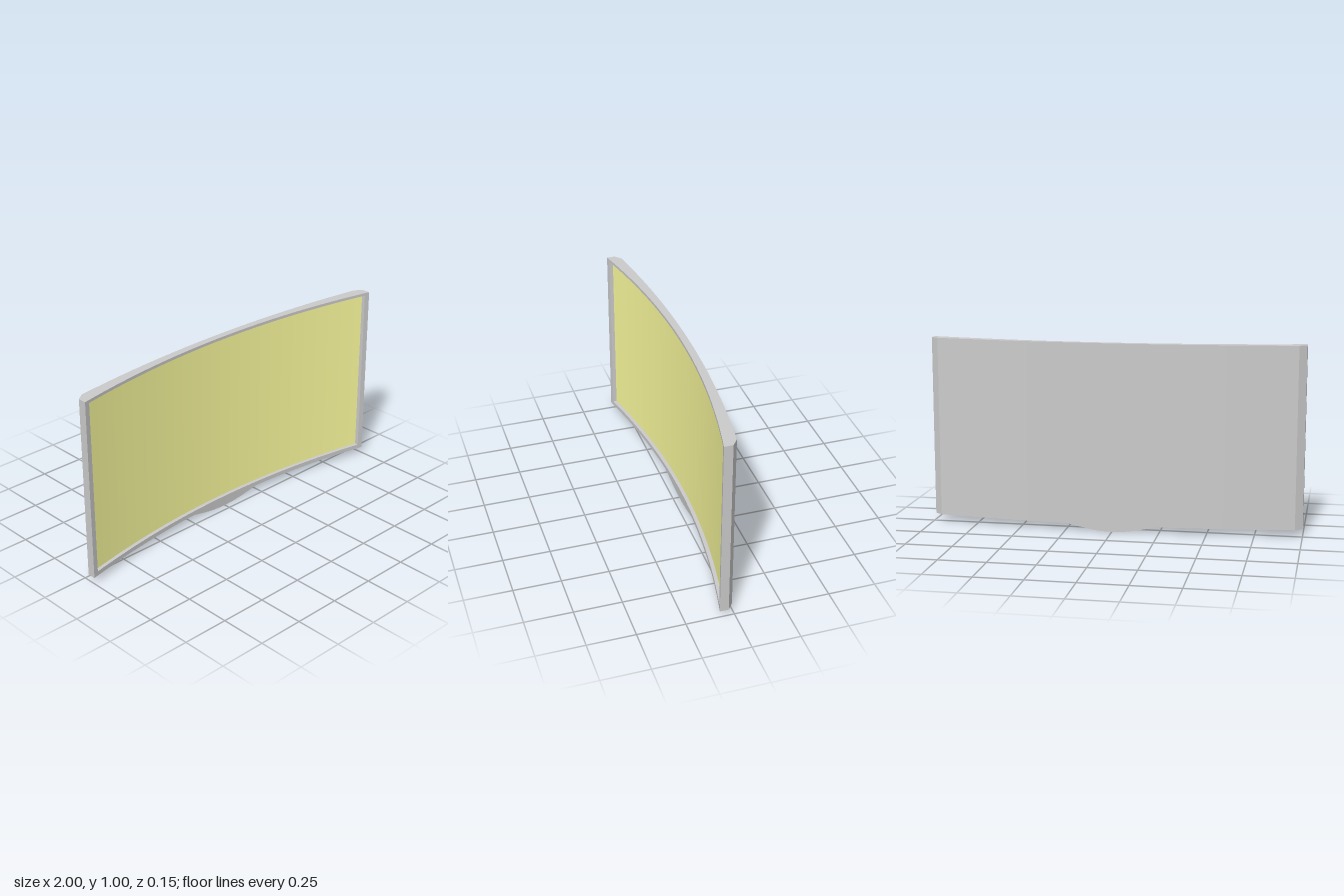
import * as THREE from 'three';

const TOP = 1.005, BASE = 0.035, RECESS = 0.02;
const IN_X = 0.972, IN_LOW = 0.058, IN_HIGH = 0.99, BEVEL_X = 0.96;

// Curved depth of the front and back faces, with bevelled back corners
const front = x => -0.036 + 0.112 * x * x;
const screenZ = x => front(x) - RECESS;
const curve = x => -0.074 + 0.08 * x * x;
const back = x => Math.abs(x) <= BEVEL_X ? curve(x)
  : THREE.MathUtils.mapLinear(Math.abs(x), BEVEL_X, 1, curve(BEVEL_X), 0.03);

// Lower edge, with a rounded bulge in the middle
const bottom = x => {
  const t = Math.min(Math.abs(x) / 0.24, 1);
  return BASE * (1 - Math.pow(1 - t * t, 1.25));
};

const range = (lo, hi, n) => Array.from({ length: n + 1 }, (_, i) => lo + (hi - lo) * i / n);

// Ribbon between two edges; it faces (direction of travel) x (a to b)
function ribbon(name, steps, a, b, material) {
  const pos = [], index = [];
  steps.forEach((t, i) => {
    pos.push(...a(t), ...b(t));
    if (i) {
      const k = 2 * i;
      index.push(k - 2, k, k + 1, k - 2, k + 1, k - 1);
    }
  });
  const g = new THREE.BufferGeometry();
  g.setAttribute('position', new THREE.Float32BufferAttribute(pos, 3));
  g.setIndex(index);
  g.computeVertexNormals();
  const mesh = new THREE.Mesh(g, material);
  mesh.name = name;
  return mesh;
}

export function createModel() {
  const grey = new THREE.MeshStandardMaterial({ color: 0xcccccc });
  const yellow = new THREE.MeshStandardMaterial({ color: 0xffffa0 });
  const model = new THREE.Group();
  model.name = 'curvedMonitor';
  const frame = new THREE.Group();
  frame.name = 'frame';
  model.add(frame);

  const mid = range(-BEVEL_X, BEVEL_X, 96);
  const full = [-1, ...mid, 1];
  const inner = range(-IN_X, IN_X, 96);
  const edge = (y, z) => x => [x, y, z(x)];
  const lower = z => x => [x, bottom(x), z(x)];
  const add = (name, steps, a, b) => frame.add(ribbon(name, steps, a, b, grey));

  // Bezel
  add('bezelBottom', full, lower(front), edge(IN_LOW, front));
  add('bezelTop', full, edge(IN_HIGH, front), edge(TOP, front));
  add('bezelRight', [-1, -IN_X], edge(IN_LOW, front), edge(IN_HIGH, front));
  add('bezelLeft', [IN_X, 1], edge(IN_LOW, front), edge(IN_HIGH, front));

  // Housing: back, rim and bevels
  add('backPanel', mid, edge(TOP, back), lower(back));
  add('topRim', full, edge(TOP, front), edge(TOP, back));
  add('bottomRim', full, lower(back), lower(front));
  for (const s of [-1, 1]) {
    const side = s > 0 ? 'Left' : 'Right';
    add('bevel' + side, s > 0 ? [BEVEL_X, 1] : [-1, -BEVEL_X], edge(TOP, back), lower(back));

    // Outer end and inner recess wall
    const wall = (name, x, z0, z1, lo, hi) =>
      add(name + side, [z0, z1], z => [x, lo, z], z => [x, hi, z]);
    const ends = [front(1), back(1)], depth = [screenZ(IN_X), front(IN_X)];
    if (s < 0) { ends.reverse(); depth.reverse(); }
    wall('endCap', s, ...ends, BASE, TOP);
    wall('recessWall', s * IN_X, ...depth, IN_LOW, IN_HIGH);
  }
  add('recessFloor', inner, edge(IN_LOW, front), edge(IN_LOW, screenZ));
  add('recessCeiling', inner, edge(IN_HIGH, screenZ), edge(IN_HIGH, front));

  // Display surface
  model.add(ribbon('screen', inner, edge(IN_LOW, screenZ), edge(IN_HIGH, screenZ), yellow));
  return model;
}
